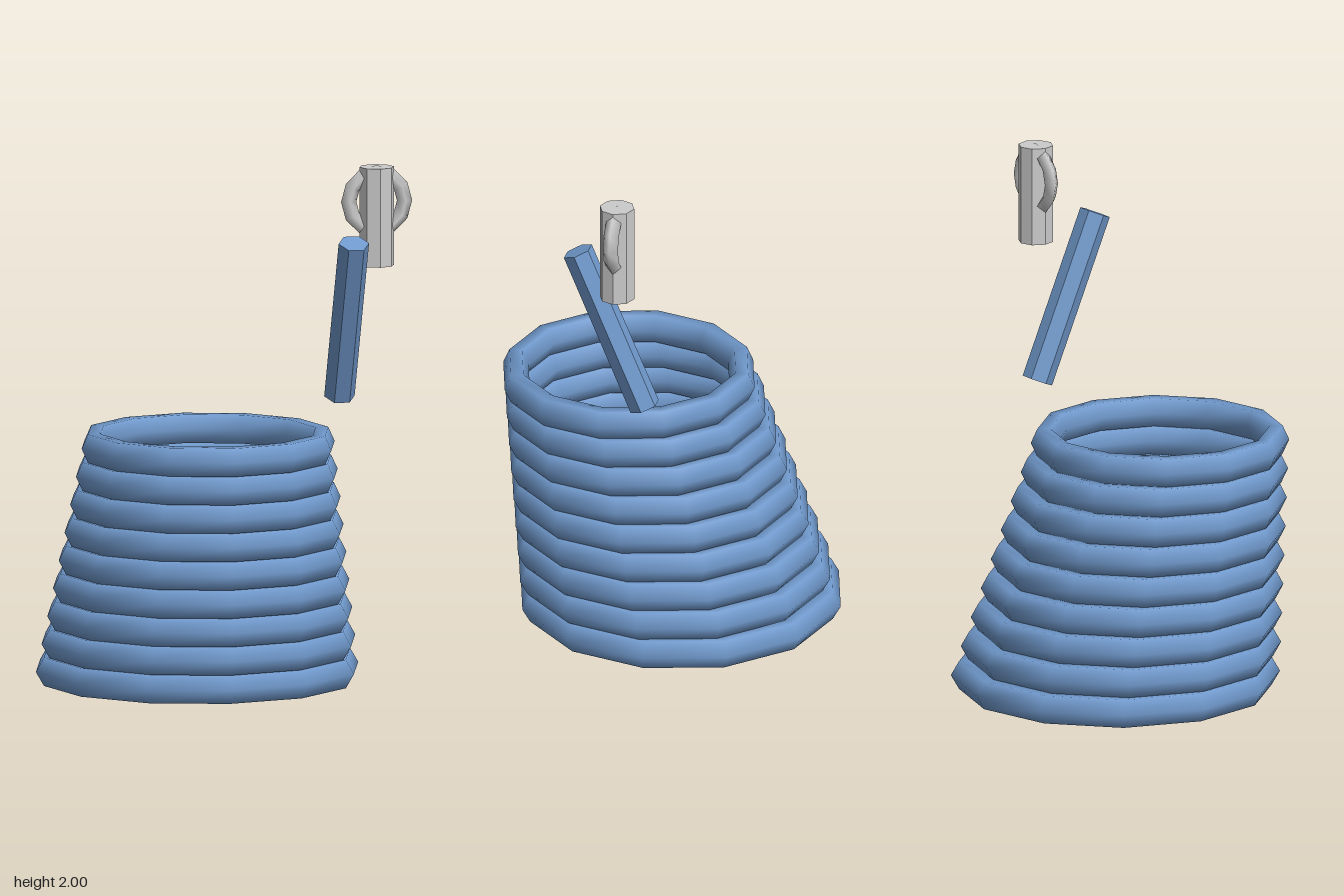
import * as THREE from 'three';

export function createModel() {
  const model = new THREE.Group();
  const blue = new THREE.MeshStandardMaterial({ color: 0x7099cc });
  const blueFlat = new THREE.MeshStandardMaterial({ color: 0x7099cc, flatShading: true });
  const grey = new THREE.MeshStandardMaterial({ color: 0xcccccc });
  const greyFlat = new THREE.MeshStandardMaterial({ color: 0xcccccc, flatShading: true });

  const add = (name, geometry, material, x, y, z) => {
    const mesh = new THREE.Mesh(geometry, material);
    mesh.name = name;
    mesh.position.set(x, y, z);
    model.add(mesh);
    return mesh;
  };

  // Leaning stack of rings: each is narrower and further forward, equally tall
  const ringGeometry = new THREE.TorusGeometry(0.571, 0.064, 6, 12).rotateX(-Math.PI / 2);
  const ringCount = 9;
  for (let i = 0; i < ringCount; i++) {
    const t = i / (ringCount - 1);
    const ring = add('ring' + (i + 1), ringGeometry, blue, -0.1, 0.055 + 0.895 * t, -0.033 + 0.205 * t);
    const s = 1 - 0.215 * t;
    ring.scale.set(s, 1, s);
  }

  // Tilted hexagonal rod
  const rodGeometry = new THREE.CylinderGeometry(0.06, 0.06, 0.686, 6).rotateY(Math.PI / 6);
  add('rod', rodGeometry, blueFlat, 0.46, 1.41, 0.105).rotation.x = 0.397;

  // Upright post with a ring handle through its upper part
  add('post', new THREE.CylinderGeometry(0.068, 0.068, 0.384, 8), greyFlat, 0.59, 1.802, 0.05);
  add('handle', new THREE.TorusGeometry(0.11, 0.03, 4, 12), grey, 0.59, 1.86, 0.05);

  return model;
}
